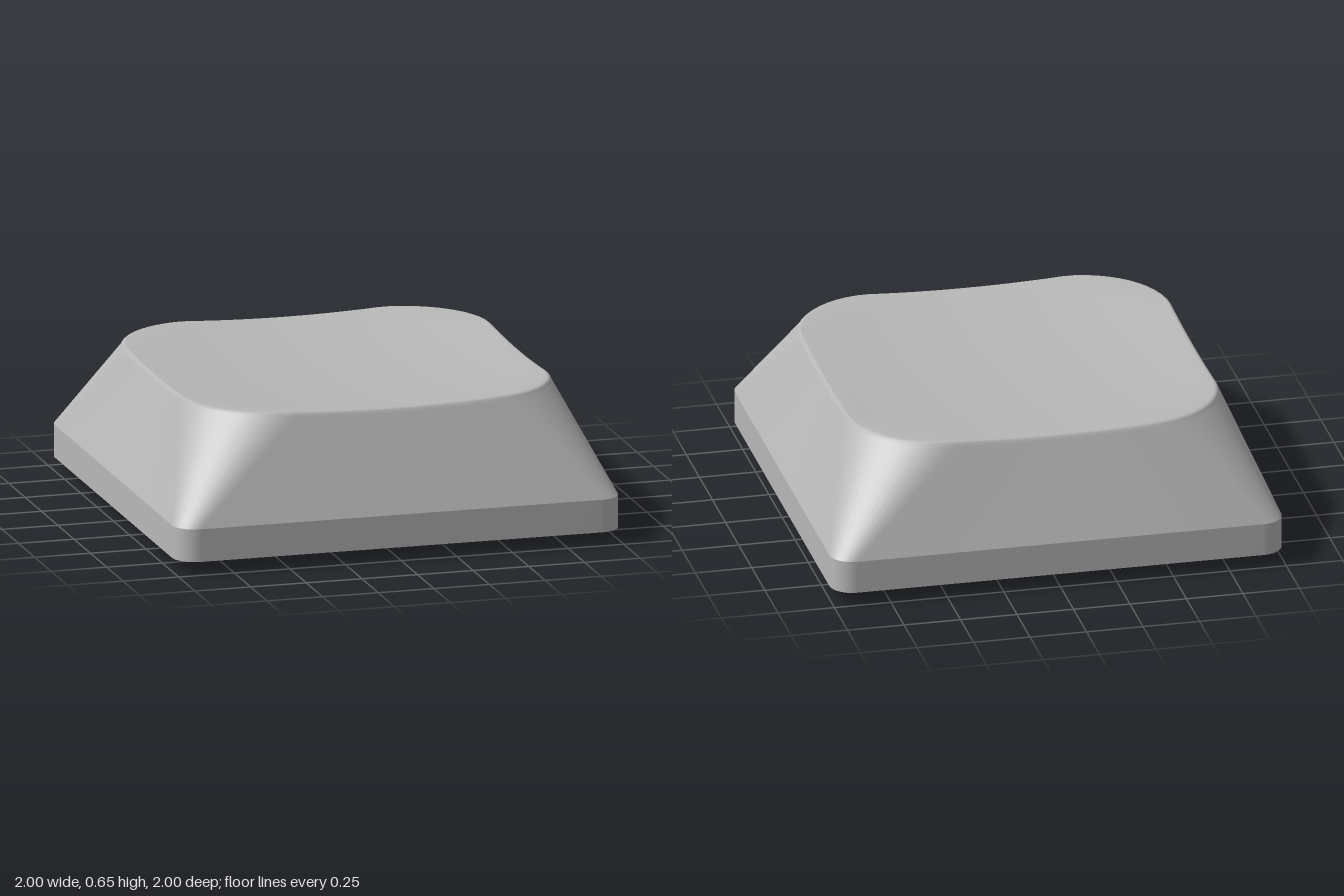
import * as THREE from 'three';
import { toCreasedNormals } from 'three/addons/utils/BufferGeometryUtils.js';

const CORNER = 12, EDGE = 12; // steps per rounded corner and per straight side

// Rounded square outline as [x, z] points, h = half width, r = corner radius
function outline(h, r) {
  const points = [];
  for (let q = 0; q < 4; q++) {
    const turn = q * Math.PI / 2, c = Math.cos(turn), s = Math.sin(turn);
    const add = (x, z) => points.push([x * c - z * s, x * s + z * c]);
    const k = h - r;
    for (let i = 0; i < EDGE; i++) add(h, -k + 2 * k * i / EDGE);
    for (let i = 0; i < CORNER; i++) {
      const a = i / CORNER * Math.PI / 2;
      add(k + r * Math.cos(a), k + r * Math.sin(a));
    }
  }
  return points;
}

// Level ring, or a ring whose height follows a function of x and z
const ring = (h, r, y) => outline(h, r).map(([x, z]) =>
  [x, typeof y === 'function' ? y(x, z) : y, z]);

// Skin over a stack of rings
function loft(rings, flat = false) {
  const n = rings[0].length, index = [];
  for (let i = 0; i < rings.length - 1; i++) {
    for (let j = 0; j < n; j++) {
      const a = i * n + j, b = i * n + (j + 1) % n;
      index.push(a, a + n, b, b, a + n, b + n);
    }
  }
  let g = new THREE.BufferGeometry();
  g.setAttribute('position', new THREE.Float32BufferAttribute(rings.flat(2), 3));
  g.setIndex(index);
  if (flat) g = g.toNonIndexed();
  g.computeVertexNormals();
  return g;
}

// Shallow spherical dish that fades into a flat top at the corners
const dish = (x, z) => Math.min(0.65, 0.592 + 0.067 * (x * x + z * z));

export function createModel() {
  const group = new THREE.Group();
  group.name = 'keycap';
  const plastic = new THREE.MeshStandardMaterial({ color: 0xb8b8b8 });
  plastic.name = 'grey plastic';

  const add = (name, geometry) => {
    const mesh = new THREE.Mesh(geometry, plastic);
    mesh.name = name;
    group.add(mesh);
  };

  // Upright band around the base
  add('skirt', loft([ring(1, 0.1, 0.06), ring(1, 0.1, 0.205)]));

  // Sloping sides, softened top edge and dished top
  const crown = [ring(1, 0.1, 0.205)];
  const softEdge = [[0.826, 0.39, 0.022], [0.821, 0.388, 0.009], [0.814, 0.384, 0.002], [0.804, 0.38, 0]];
  for (const [h, r, drop] of softEdge) crown.push(ring(h, r, (x, z) => dish(x, z) - drop));
  for (let i = 11; i >= 0; i--) {
    const s = i / 12;
    crown.push(ring(0.804 * s, 0.38 * s, dish));
  }
  add('crown', loft(crown));

  // Hollow underside: ceiling, sloping walls, small ledge, upright walls, bottom rim
  const sharp = 0.001;
  add('underside', loft([
    ring(0, 0, 0.485),
    ring(0.72, sharp, 0.485),
    ring(0.832, sharp, 0.19),
    ring(0.842, sharp, 0.19),
    ring(0.842, sharp, 0.06),
    ring(1, 0.1, 0.06),
  ], true));

  // Round stem with a cross-shaped socket
  const stem = new THREE.Shape().absarc(0, 0, 0.292, 0, Math.PI * 2);
  const L = 0.24, w = 0.072;
  const cross = [[L, -w], [L, w], [w, w], [w, L], [-w, L], [-w, w],
    [-L, w], [-L, -w], [-w, -w], [-w, -L], [w, -L], [w, -w]];
  stem.holes.push(new THREE.Path(cross.map(([x, y]) => new THREE.Vector2(x, y))));
  const stemGeometry = new THREE.ExtrudeGeometry(stem, { depth: 0.49, bevelEnabled: false, curveSegments: 48 });
  stemGeometry.rotateX(-Math.PI / 2);
  add('stem', toCreasedNormals(stemGeometry, 0.6));

  return group;
}
